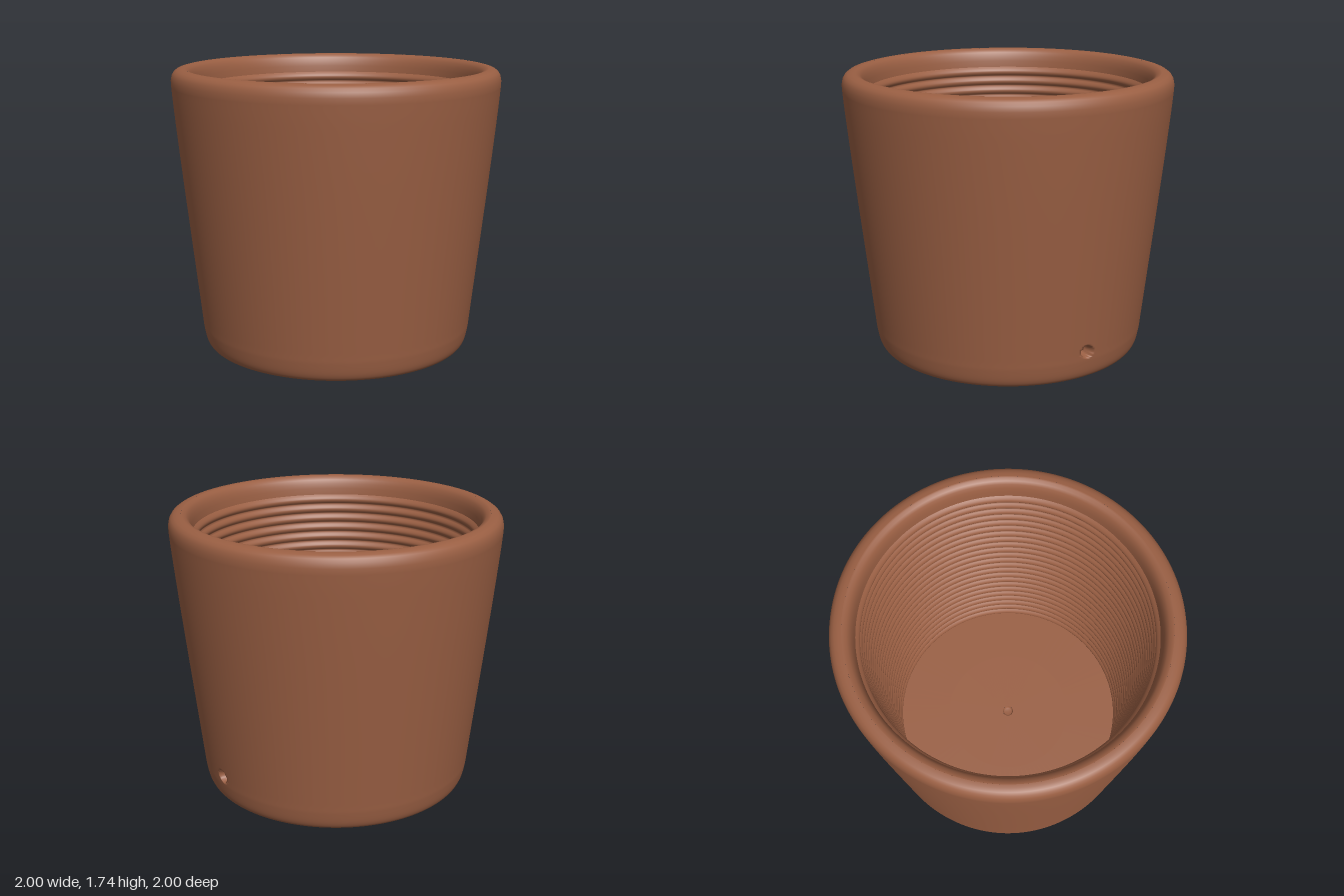
import * as THREE from 'three';
import { mergeVertices } from 'three/addons/utils/BufferGeometryUtils.js';

const v = (x, y) => new THREE.Vector2(x, y);

export function createModel() {
  const pot = new THREE.Group();
  pot.name = 'flowerPot';
  const terracotta = new THREE.MeshStandardMaterial({ color: 0x9a5f43 });
  terracotta.name = 'terracotta';
  const add = (name, geometry) => {
    const mesh = new THREE.Mesh(geometry, terracotta);
    mesh.name = name;
    pot.add(mesh);
  };

  // Outer shell: soft foot, gently curved taper, rounded lip
  const side = new THREE.SplineCurve([
    v(0.76, 0.012), v(0.8, 0.025), v(0.823, 0.06), v(0.838, 0.13), v(0.846, 0.2), v(0.868, 0.4),
    v(0.912, 0.8), v(0.955, 1.2), v(0.985, 1.5), v(0.997, 1.64),
  ]);
  const outer = [v(0, 0), v(0.3, 0.003), v(0.6, 0.009), v(0.72, 0.011)];
  const sidePoints = side.getPoints(90);
  const holeY = 0.2, holeR = 0.035;
  // Fine rows around the drain hole, coarse ones on the plain wall
  for (const p of sidePoints) outer.push(p);
  const rows = [];
  for (let i = 0; i < outer.length; i++) {
    rows.push(outer[i]);
    const a = outer[i], b = outer[i + 1];
    if (b && a.y > 0.12 && a.y < 0.28) {
      const n = Math.ceil((b.y - a.y) / 0.01);
      for (let k = 1; k < n; k++) rows.push(a.clone().lerp(b, k / n));
    }
  }
  rows.push(v(0.998, 1.67), v(0.992, 1.7), v(0.98, 1.72), v(0.962, 1.733), v(0.94, 1.739), v(0.92, 1.74));
  let shell = new THREE.LatheGeometry(rows, 360);

  // Drain hole sunk into the back of the wall
  const pos = shell.attributes.position;
  for (let i = 0; i < pos.count; i++) {
    const x = pos.getX(i), y = pos.getY(i), z = pos.getZ(i);
    const d = Math.hypot(x, (y - holeY) * 0.85);
    if (z < 0 && y > 0.05 && d < holeR) {
      pos.setZ(i, z + 0.1 * Math.min(1, (holeR - d) / 0.012));
    }
  }
  shell.deleteAttribute('uv');
  shell.deleteAttribute('normal');
  shell = mergeVertices(shell, 1e-5);
  shell.computeVertexNormals();
  add('outerShell', shell);

  // Inner lip rolling down into the opening
  add('innerLip', new THREE.LatheGeometry([
    v(0.92, 1.74), v(0.91, 1.739), v(0.893, 1.73), v(0.879, 1.715), v(0.869, 1.69), v(0.862, 1.66), v(0.858, 1.62),
  ], 160));

  // Ribbed inner wall: stacked rounded coils
  const floorY = 0.18, topY = 1.62, ribs = 23, steps = 8;
  const wall = [];
  for (let i = 0; i <= ribs * steps; i++) {
    const t = i / (ribs * steps);
    const bulge = Math.abs(Math.sin((Math.PI * i) / steps));
    wall.push(v(0.858 - 0.125 * t - 0.02 * bulge, topY + (floorY - topY) * t));
  }
  add('ribbedInnerWall', new THREE.LatheGeometry(wall, 160));

  // Floor with a small dimple at the centre
  add('floor', new THREE.LatheGeometry([v(0.74, floorY), v(0.4, floorY - 0.002), v(0.034, floorY - 0.004)], 96));
  add('floorDimple', new THREE.LatheGeometry([
    v(0.034, floorY - 0.004), v(0.03, floorY - 0.015), v(0.024, floorY - 0.02), v(0, floorY - 0.02),
  ], 32));

  return pot;
}
